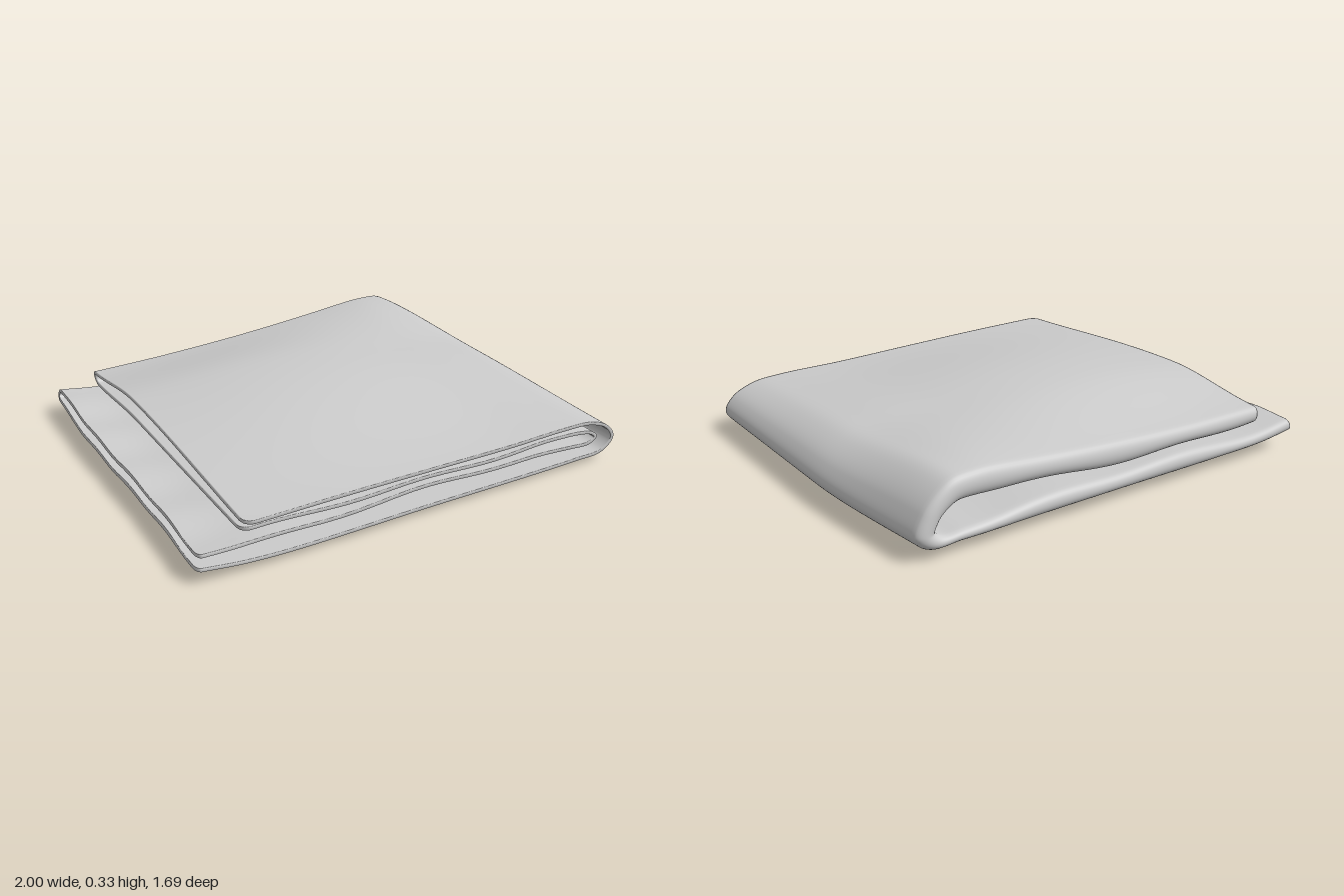
import * as THREE from 'three';

const { smoothstep, lerp } = THREE.MathUtils;
const curve = pts => new THREE.CatmullRomCurve3(pts.map(([x, y]) => new THREE.Vector3(x, y, 0)));
const bump = (d, w) => Math.exp(-((d / w) ** 2));

// Profiles of the two layers seen from the front: top flap, round fold, bottom flap
const outer = curve([[-.82, .25], [-.4, .243], [0, .232], [.4, .222], [.7, .222], [.85, .21], [.955, .165], [.995, .105],
  [.945, .05], [.8, .04], [.4, .04], [0, .042], [-.5, .042], [-.8, .052], [-.99, .075]]);
const inner = curve([[-.81, .188], [-.4, .178], [0, .168], [.4, .162], [.7, .16], [.82, .154], [.9, .135], [.925, .11],
  [.89, .088], [.78, .092], [.4, .112], [0, .122], [-.5, .116], [-.8, .117], [-.98, .132]]);

// Middle of the cloth: u runs along the profile, v from the outer front edge round the back fold to the inner front edge
function cloth(u, v) {
  const a = outer.getPoint(u), b = inner.getPoint(u);
  const theta = THREE.MathUtils.clamp((v - .46) / .08, 0, 1) * Math.PI;
  const s = (1 - Math.cos(theta)) / 2;
  const p = a.lerp(b, s);

  // depth, with rounded corners at both free ends
  const back = -.765 - .05 * u, r = .045;
  const d = Math.min(r, Math.min(u, 1 - u) * 5.6);
  const front = lerp(.838 - .06 * u, .785 - .015 * u, s) - (r - Math.sqrt(r * r - (r - d) ** 2));
  if (v < .46) p.z = lerp(front, back, v / .46);
  else if (v > .54) p.z = lerp(back, front, (v - .54) / .46);
  else p.z = back - .027 * Math.sin(theta);
  const { x, z } = p;

  // puffed top, raised back corner of the fold, dropped back corner of the free end, sagging underside
  const top = 1 - smoothstep(u, .33, .5), low = smoothstep(u, .52, .65);
  const puff = .092 * bump(x, .85) * Math.cos((z + .1) * 1.45) ** 2;
  const corner = .066 * bump(x - .85, .6) * smoothstep(-z, .1, .75);
  const drop = .05 * smoothstep(-z, .25, .8) * (1 - smoothstep(x, -.6, .7));
  p.y += top * (puff * lerp(1, .1, s) + corner * lerp(1, .8, s) - drop * lerp(1, .7, s));
  p.y -= low * (1 - s) * .026 * (bump(x + .62, .2) + bump(x - .45, .22)) * bump(z - .22, .33);
  p.y += low * (1 - s) * .018 * smoothstep(-z, .6, .82);

  // soft ripples in the hidden layers and the bottom flap
  p.y += s * .007 * Math.sin(9 * x + 2 * z) * (1 - smoothstep(x, .5, .85));
  p.y += low * .005 * Math.sin(17 * z) * smoothstep(-x, .55, .95);
  p.x += low * .008 * Math.sin(4 * z) * smoothstep(-x, .6, 1);

  // fold narrows towards the back
  p.x -= .075 * smoothstep(-z, .1, 1.1) * smoothstep(x, .5, .95);
  return p;
}

// Gives the sheet thickness along its normals and closes all rims
function clothGeometry(N, M, half) {
  const pos = [], index = [], W = 2 * M + 2, e = 1e-3;
  const dense = k => k - .85 * Math.sin(4 * Math.PI * k) / (4 * Math.PI);
  for (let i = 0; i <= N; i++) {
    const row = [], u = dense(i / N);
    for (let j = 0; j <= M; j++) {
      const v = dense(j / M);
      const du = cloth(Math.min(1, u + e), v).sub(cloth(Math.max(0, u - e), v));
      const dv = cloth(u, Math.min(1, v + e)).sub(cloth(u, Math.max(0, v - e)));
      const n = du.cross(dv).normalize().multiplyScalar(half), p = cloth(u, v);
      row[j] = p.clone().add(n);
      row[W - 1 - j] = p.sub(n);
    }
    row.forEach(p => pos.push(p.x, p.y, p.z));
  }
  const quad = (a, b, c, d) => index.push(a, b, c, a, c, d);
  for (let i = 0; i < N; i++) {
    for (let j = 0; j < W; j++) {
      const k = (j + 1) % W;
      quad(i * W + j, (i + 1) * W + j, (i + 1) * W + k, i * W + k);
    }
  }
  for (let j = 0; j < M; j++) {
    const q = N * W, b = W - 1 - j;
    quad(j, j + 1, b - 1, b);
    quad(q + j, q + b, q + b - 1, q + j + 1);
  }
  const g = new THREE.BufferGeometry();
  g.setAttribute('position', new THREE.Float32BufferAttribute(pos, 3));
  g.setIndex(index);
  g.computeVertexNormals();
  return g;
}

export function createModel() {
  const group = new THREE.Group();
  group.name = 'foldedTowel';
  const towel = new THREE.Mesh(clothGeometry(150, 100, .007),
    new THREE.MeshStandardMaterial({ color: 0xcccccc, side: THREE.DoubleSide }));
  towel.name = 'cloth';
  group.add(towel);
  return group;
}
